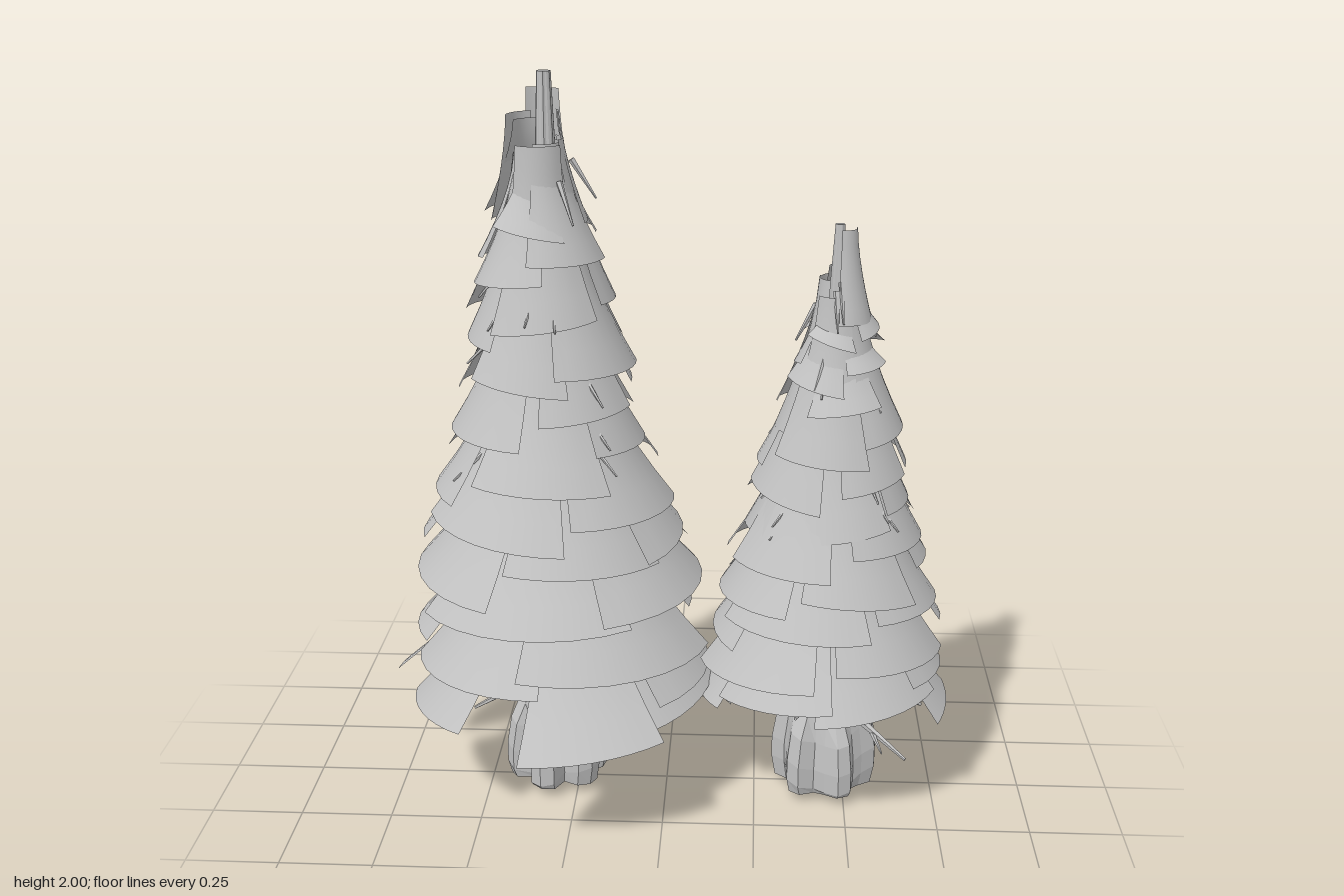
import * as THREE from 'three';

const grey = new THREE.MeshStandardMaterial({ color: 0xc0c0c0, side: THREE.DoubleSide });
grey.name = 'plain grey';

const rad = THREE.MathUtils.degToRad;

function seeded(seed) {
  return () => {
    seed = (seed * 16807) % 2147483647;
    return seed / 2147483647;
  };
}

function add(parent, geometry, name) {
  const mesh = new THREE.Mesh(geometry, grey);
  mesh.name = name;
  parent.add(mesh);
  return mesh;
}

function faceted(geometry) {
  const g = geometry.toNonIndexed();
  g.computeVertexNormals();
  return g;
}

// piecewise linear lookup in [[y, value], ...]
function sample(table, y) {
  for (let i = 1; i < table.length; i++) {
    const [y0, a] = table[i - 1], [y1, b] = table[i];
    if (y <= y1) return a + (b - a) * Math.max(0, (y - y0) / (y1 - y0));
  }
  return table[table.length - 1][1];
}

// One curved sheet of needles: steep near the trunk, flaring out at the tip
function needleSheet({ azimuth, width, tipY, tipR, height, topR, tilt = 0 }) {
  const g = new THREE.PlaneGeometry(1, 1, 8, 6);
  const p = g.attributes.position;
  for (let i = 0; i < p.count; i++) {
    const u = p.getX(i);
    const t = 0.5 - p.getY(i);
    const a = rad(azimuth - u * width);
    const r = topR + (tipR - topR) * Math.pow(t, 1.5);
    p.setXYZ(i, Math.cos(a) * r, tipY + height * (1 - t) + u * tilt * t, Math.sin(a) * r);
  }
  g.computeVertexNormals();
  return g;
}

// Trunk with swollen, deeply grooved roots
function trunk(height, topR, turn) {
  const profile = [[0, 0.035], [0.07, 0.03], [0.135, 0.025], [0.145, 0.06], [0.145, 0.12],
    [0.132, 0.2], [0.1, 0.26], [0.08, 0.32], [0.07, 0.45], [0.05, height * 0.6], [topR, height], [0, height]];
  const g = new THREE.LatheGeometry(profile.map(([r, y]) => new THREE.Vector2(r, y)), 24);
  const p = g.attributes.position;
  for (let i = 0; i < p.count; i++) {
    const x = p.getX(i), y = p.getY(i), z = p.getZ(i);
    const a = Math.atan2(z, x) + turn;
    const depth = y < 0.25 ? 0.42 : 0.15;
    const k = 1.02 - depth * Math.pow(1 - Math.abs(Math.cos(a * 3)), 1.5);
    const gnarl = y > 0.04 && y < 0.28 ? 0.025 * Math.sin(a * 2) : 0;
    p.setXYZ(i, x * k, y + gnarl, z * k);
  }
  return faceted(g);
}

// Thin tapered twig between two points
function twig(parent, from, to, radius) {
  const dir = to.clone().sub(from);
  const g = new THREE.CylinderGeometry(radius * 0.3, radius, dir.length(), 5);
  const mesh = add(parent, faceted(g), 'twig');
  mesh.position.copy(from).addScaledVector(dir, 0.5);
  mesh.quaternion.setFromUnitVectors(new THREE.Vector3(0, 1, 0), dir.normalize());
}

function tree(spec) {
  const random = seeded(spec.seed);
  const jitter = (s) => (random() - 0.5) * 2 * s;
  const group = new THREE.Group();
  group.name = spec.name;

  add(group, trunk(spec.height, spec.trunkTop, spec.turn), 'trunk');
  const peg = add(group, new THREE.CylinderGeometry(0.045, 0.045, 0.05, 8), 'trunkBase');
  peg.position.y = 0.025 + spec.pegLift;

  // The foliage drifts sideways a little as it rises
  const foliage = new THREE.Group();
  foliage.name = 'foliage';
  group.add(foliage);
  const sheet = (options, name) => {
    add(foliage, needleSheet(options), name).position.x = spec.drift * (1 - options.tipY / 0.9);
  };

  // Hand-placed skirt: azimuth, width, tip radius, tip height
  for (const [azimuth, width, tipR, tipY] of spec.skirt) {
    sheet({ azimuth, width, tipR, tipY, height: 0.42, topR: tipR * 0.33, tilt: 0.03 }, 'skirtSheet');
  }

  // Overlapping sheets spiralling up the tree
  for (let y = spec.firstSheet, i = 0; y < spec.lastSheet; y += spec.rise, i++) {
    const tipY = y + jitter(0.025);
    const tipR = sample(spec.outline, tipY) * (1 + jitter(0.07));
    sheet({
      azimuth: i * 137.5 + jitter(8),
      width: spec.sheetWidth + jitter(14),
      tipY, tipR,
      height: Math.min(0.42, spec.sheetTop - 0.14 * random() - tipY),
      topR: Math.max(spec.minR, tipR * 0.33),
      tilt: jitter(0.04),
    }, 'needleSheet');
  }

  // Sheets wrapping the crown: azimuth, width, tip radius, tip height, height, top radius
  for (const [azimuth, width, tipR, tipY, height, topR] of spec.crown) {
    sheet({ azimuth, width, tipR, tipY, height, topR }, 'crownSheet');
  }

  // Bare twigs under the skirt: azimuth, reach, start height, tip height
  const at = (a, r, y) => new THREE.Vector3(Math.cos(rad(a)) * r, y, Math.sin(rad(a)) * r);
  for (const [a, reach, y0, y1] of spec.twigs) {
    twig(group, at(a, 0.04, y0), at(a, reach, y1), 0.015);
    twig(group, at(a, reach * 0.6, y0 * 0.4 + y1 * 0.6), at(a + 14, reach * 0.9, y1 + 0.03), 0.008);
  }
  // Short twigs poking through the needles
  for (let i = 0; i < 24; i++) {
    const y = spec.height * (0.45 + 0.4 * random());
    const r = sample(spec.outline, y);
    const a = random() * 360;
    twig(group, at(a, r * 0.5, y + 0.1), at(a + jitter(8), r * 0.97, y), 0.009);
  }

  group.position.set(spec.x, 0, spec.z);
  return group;
}

export function createModel() {
  const model = new THREE.Group();
  model.name = 'pineTrees';

  model.add(tree({
    name: 'tallTree', seed: 71, x: -0.31, z: 0, drift: 0.03, height: 2, trunkTop: 0.018, turn: 0.3, pegLift: 0.01,
    outline: [[0.3, 0.43], [0.45, 0.41], [0.65, 0.37], [0.9, 0.31], [1.05, 0.27], [1.28, 0.22], [1.43, 0.19], [1.6, 0.155], [1.8, 0.1]],
    firstSheet: 0.4, lastSheet: 1.64, rise: 0.03, sheetWidth: 84, sheetTop: 1.88, minR: 0.06,
    skirt: [[206, 48, 0.48, 0.3], [252, 46, 0.47, 0.29], [290, 44, 0.48, 0.27], [332, 56, 0.47, 0.25],
      [28, 62, 0.42, 0.33], [75, 48, 0.48, 0.3], [152, 52, 0.42, 0.29]],
    crown: [[85, 100, 0.13, 1.45, 0.37, 0.075], [215, 80, 0.12, 1.62, 0.27, 0.075],
      [285, 75, 0.1, 1.72, 0.23, 0.075], [350, 50, 0.13, 1.62, 0.28, 0.06]],
    twigs: [[20, 0.3, 0.33, 0.27], [95, 0.2, 0.32, 0.24], [160, 0.24, 0.33, 0.25], [235, 0.28, 0.33, 0.23], [290, 0.3, 0.32, 0.2]],
  }));

  model.add(tree({
    name: 'shortTree', seed: 1234, x: 0.445, z: 0.01, drift: -0.02, height: 1.62, trunkTop: 0.012, turn: 0.9, pegLift: 0,
    outline: [[0.35, 0.34], [0.45, 0.33], [0.6, 0.3], [0.75, 0.26], [0.95, 0.2], [1.1, 0.165], [1.25, 0.125], [1.4, 0.085], [1.6, 0.05]],
    firstSheet: 0.43, lastSheet: 1.36, rise: 0.022, sheetWidth: 78, sheetTop: 1.5, minR: 0.035,
    skirt: [[8, 36, 0.35, 0.29], [60, 70, 0.33, 0.36], [118, 62, 0.33, 0.37], [172, 50, 0.34, 0.31],
      [222, 54, 0.32, 0.35], [272, 56, 0.33, 0.36], [322, 56, 0.33, 0.37]],
    crown: [[40, 120, 0.08, 1.37, 0.24, 0.035], [230, 100, 0.075, 1.36, 0.15, 0.035]],
    twigs: [[10, 0.27, 0.32, 0.28], [40, 0.28, 0.28, 0.18], [110, 0.26, 0.32, 0.33], [165, 0.28, 0.33, 0.31], [215, 0.24, 0.3, 0.26], [285, 0.28, 0.31, 0.25], [330, 0.24, 0.34, 0.33]],
  }));

  return model;
}
